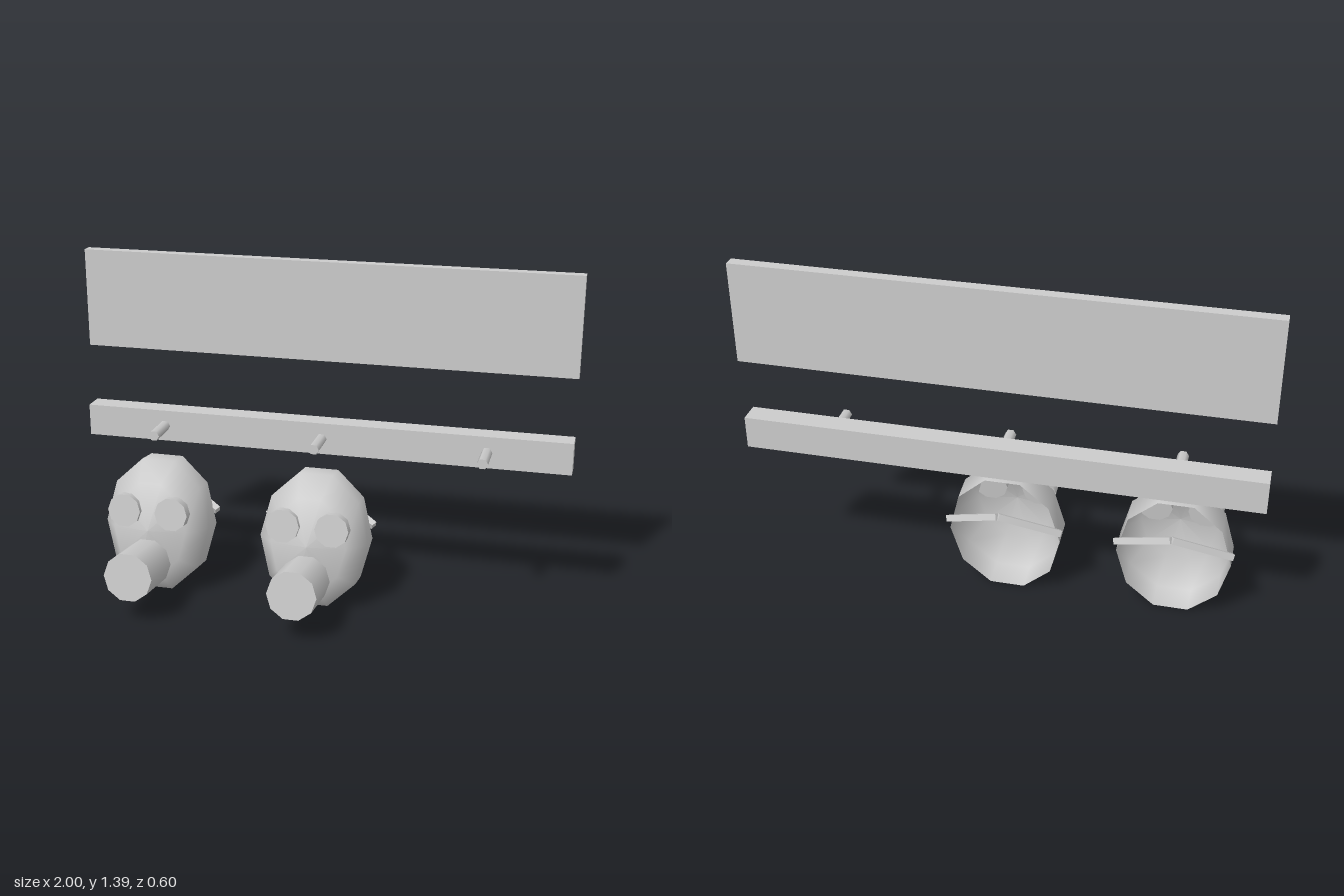
import * as THREE from 'three';

const grey = new THREE.MeshStandardMaterial({ color: 0xcccccc });
const shellGrey = new THREE.MeshStandardMaterial({ color: 0xcccccc, side: THREE.DoubleSide });

function add(parent, name, geometry, x = 0, y = 0, z = 0, material = grey) {
  const mesh = new THREE.Mesh(geometry, material);
  mesh.name = name;
  mesh.position.set(x, y, z);
  parent.add(mesh);
  return mesh;
}

// Low-sided cylinder lying along z, with corners pointing sideways
function rod(radius, length, sides) {
  return new THREE.CylinderGeometry(radius, radius, length, sides, 1, false, Math.PI / 2)
    .rotateX(Math.PI / 2);
}

// Straight square-section strap piece between two points
function strapPiece(parent, name, from, to) {
  const direction = to.clone().sub(from);
  const length = direction.length();
  const mesh = add(parent, name, new THREE.CylinderGeometry(0.018, 0.018, length, 4));
  mesh.material = new THREE.MeshStandardMaterial({ color: 0xcccccc, flatShading: true });
  mesh.position.copy(from).add(to).multiplyScalar(0.5);
  mesh.quaternion.setFromUnitVectors(new THREE.Vector3(0, 1, 0), direction.normalize());
}

function createMask() {
  const mask = new THREE.Group();
  mask.name = 'mask';

  // Face parts lean back slightly
  const face = new THREE.Group();
  face.name = 'face';
  face.position.set(0, 0.275, -0.172);
  face.rotation.x = -0.137;
  mask.add(face);

  // Hollow oval shell, open at the back
  const profile = [[1, 0], [1, 0.108], [0.69, 0.199], [0, 0.224]]
    .map(([r, d]) => new THREE.Vector2(r, d));
  const shell = new THREE.LatheGeometry(profile, 10, Math.PI / 2)
    .rotateX(Math.PI / 2)
    .scale(0.222, 0.287, 1);
  add(face, 'shell', shell, 0, 0, 0, shellGrey);

  // Eyepieces and snout canister
  for (const side of [-1, 1]) {
    add(face, side > 0 ? 'leftEyepiece' : 'rightEyepiece', rod(0.069, 0.042, 10), side * 0.1, 0.079, 0.21);
  }
  add(face, 'canister', rod(0.1, 0.221, 10), 0, -0.133, 0.3325);

  // Head strap rising to a point behind the shell
  const top = new THREE.Vector3(0, 0.437, -0.282);
  for (const side of [-1, 1]) {
    strapPiece(mask, side > 0 ? 'leftStrap' : 'rightStrap',
      new THREE.Vector3(side * 0.225, 0.327, -0.184), top);
  }
  return mask;
}

export function createModel() {
  const model = new THREE.Group();
  model.name = 'maskRack';

  // Wall board and peg rail
  add(model, 'board', new THREE.BoxGeometry(2, 0.4, 0.044), 0, 1.19, -0.263);
  add(model, 'rail', new THREE.BoxGeometry(2, 0.13, 0.086), 0, 0.677, -0.242);

  // Pegs
  for (const x of [-0.667, 0, 0.667]) {
    add(model, 'peg', rod(0.022, 0.145, 6), x, 0.677, -0.137);
  }

  // Two masks under the pegs, the third peg stays empty
  for (const x of [-0.667, 0]) {
    const mask = createMask();
    mask.position.x = x;
    model.add(mask);
  }
  return model;
}
